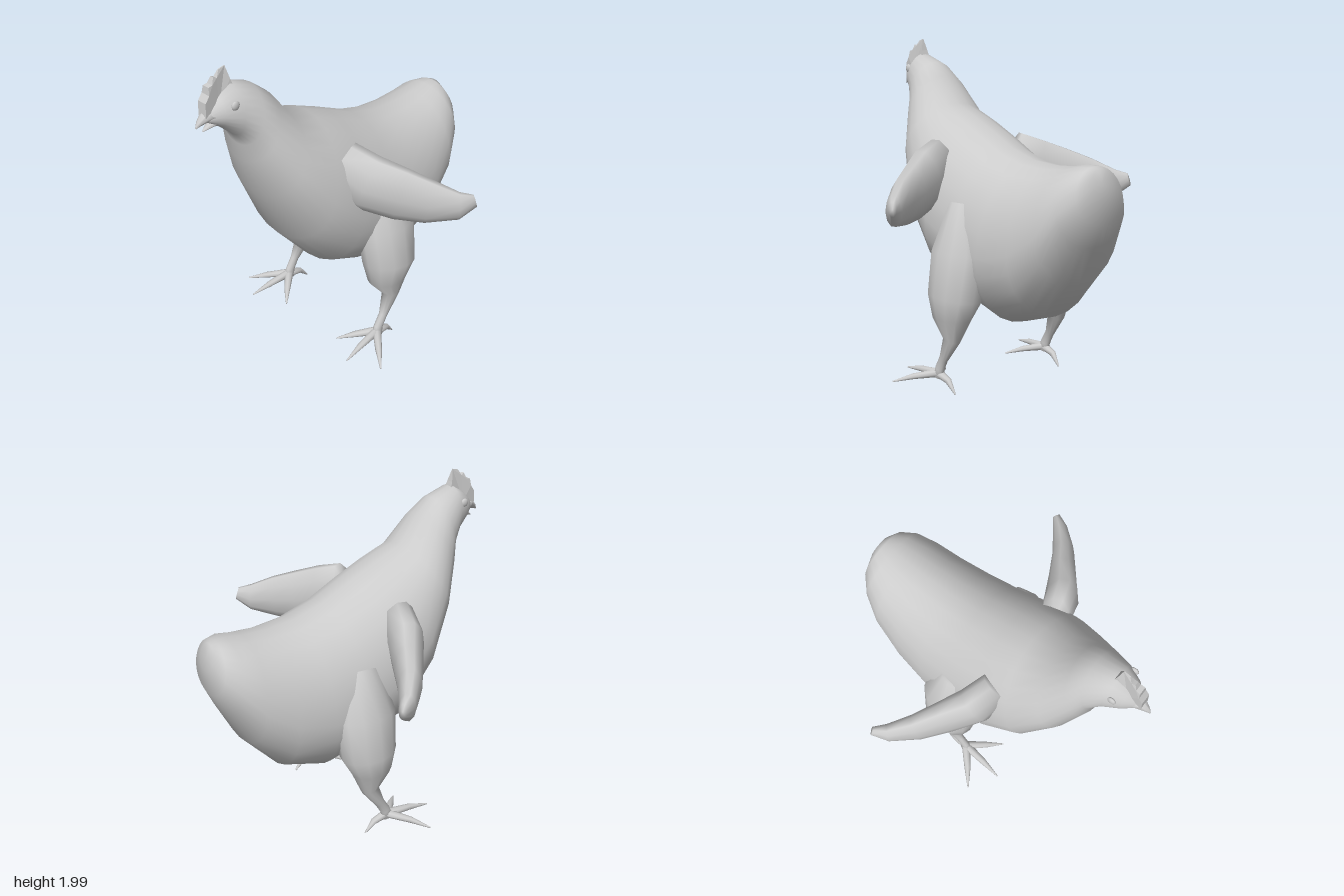
import * as THREE from 'three';

const material = new THREE.MeshStandardMaterial({ color: 0xcccccc });

// Skin equal-length rings of points into a closed, smooth, outward-facing surface
function loft(rings) {
  const n = rings[0].length, pos = [], idx = [];
  rings.forEach(r => r.forEach(p => pos.push(p.x, p.y, p.z)));
  for (let i = 0; i < rings.length - 1; i++) {
    for (let j = 0; j < n; j++) {
      const a = i * n + j, b = i * n + (j + 1) % n;
      idx.push(a, b, b + n, a, b + n, a + n);
    }
  }
  [0, rings.length - 1].forEach((k, end) => {
    const c = new THREE.Vector3();
    rings[k].forEach(p => c.addScaledVector(p, 1 / n));
    const ci = pos.length / 3;
    pos.push(c.x, c.y, c.z);
    for (let j = 0; j < n; j++) {
      const a = k * n + j, b = k * n + (j + 1) % n;
      idx.push(ci, end ? a : b, end ? b : a);
    }
  });
  // Flip the faces if the enclosed volume is negative
  const at = i => new THREE.Vector3().fromArray(pos, i * 3);
  let volume = 0;
  for (let i = 0; i < idx.length; i += 3) {
    volume += at(idx[i]).dot(at(idx[i + 1]).cross(at(idx[i + 2])));
  }
  if (volume < 0) idx.reverse();
  const g = new THREE.BufferGeometry();
  g.setAttribute('position', new THREE.Float32BufferAttribute(pos, 3));
  g.setIndex(idx);
  g.computeVertexNormals();
  return g;
}

// Sweep ellipses along stations [x, y, z, halfWidth, halfHeight]; s mirrors x
function sweep(stations, seg, s = 1, up = new THREE.Vector3(0, 1, 0)) {
  const c = stations.map(p => new THREE.Vector3(p[0] * s, p[1], p[2]));
  return loft(stations.map((p, i) => {
    const dir = c[Math.min(i + 1, c.length - 1)].clone().sub(c[Math.max(i - 1, 0)]).normalize();
    const side = dir.clone().cross(up).normalize();
    const top = side.clone().cross(dir);
    return Array.from({ length: seg }, (_, j) => {
      const a = j / seg * Math.PI * 2;
      return c[i].clone().addScaledVector(side, Math.cos(a) * p[3]).addScaledVector(top, Math.sin(a) * p[4]);
    });
  }));
}

// Slanted egg-shaped body sections: [topZ, topY, bottomZ, bottomY, halfWidth]
function bodyGeometry() {
  const sections = [
    [0.87, 1.79, 0.86, 1.73, 0.03],
    [0.80, 1.86, 0.80, 1.69, 0.085],
    [0.72, 1.91, 0.71, 1.61, 0.125],
    [0.58, 1.86, 0.68, 1.54, 0.165],
    [0.48, 1.78, 0.67, 1.44, 0.205],
    [0.36, 1.62, 0.59, 1.20, 0.29],
    [0.20, 1.56, 0.43, 0.85, 0.37],
    [0.03, 1.49, 0.20, 0.58, 0.40],
    [-0.17, 1.40, -0.02, 0.48, 0.39],
    [-0.36, 1.35, -0.30, 0.41, 0.375],
    [-0.54, 1.34, -0.56, 0.50, 0.34],
    [-0.69, 1.35, -0.75, 0.72, 0.30],
    [-0.79, 1.37, -0.86, 0.94, 0.24],
    [-0.86, 1.37, -0.92, 1.07, 0.165],
    [-0.89, 1.36, -0.93, 1.21, 0.07],
  ];
  const seg = 24;
  return loft(sections.map(([tz, ty, bz, by, w]) => Array.from({ length: seg }, (_, j) => {
    const a = j / seg * Math.PI * 2, mid = 0.45;
    const t = mid + Math.sin(a) * (Math.sin(a) > 0 ? 1 - mid : mid);
    return new THREE.Vector3(Math.cos(a) * w, by + (ty - by) * t, bz + (tz - bz) * t);
  })));
}

// Jagged comb, thick at the skull and sharp along its crest
function combGeometry() {
  const outline = [[0.70, 1.88], [0.715, 1.93], [0.73, 2.0], [0.77, 1.99], [0.79, 1.955], [0.81, 1.965],
    [0.825, 1.93], [0.85, 1.925], [0.855, 1.885], [0.88, 1.85], [0.885, 1.77], [0.80, 1.80]];
  const shape = new THREE.Shape(outline.map(p => new THREE.Vector2(...p)));
  const g = new THREE.ExtrudeGeometry(shape, { depth: 1, bevelEnabled: false });
  g.translate(0, 0, -0.5).rotateY(-Math.PI / 2);
  const p = g.attributes.position;
  for (let i = 0; i < p.count; i++) {
    const half = THREE.MathUtils.clamp((2 - p.getY(i)) * 0.3, 0.002, 0.03);
    p.setX(i, Math.sign(p.getX(i)) * half);
  }
  g.computeVertexNormals();
  return g;
}

export function createModel() {
  const model = new THREE.Group();
  model.name = 'hen';
  const add = (name, geometry, parent = model) => {
    const mesh = new THREE.Mesh(geometry, material);
    mesh.name = name;
    parent.add(mesh);
    return mesh;
  };

  add('body', bodyGeometry());
  add('comb', combGeometry());
  add('upperBeak', sweep([[0, 1.77, 0.82, 0.06, 0.035], [0, 1.765, 0.87, 0.036, 0.03],
    [0, 1.74, 0.91, 0.015, 0.016], [0, 1.72, 0.93, 0.003, 0.003]], 8));
  add('lowerBeak', sweep([[0, 1.73, 0.79, 0.05, 0.03], [0, 1.715, 0.84, 0.03, 0.016],
    [0, 1.69, 0.89, 0.004, 0.004]], 8));

  for (const s of [1, -1]) {
    const label = s > 0 ? 'left' : 'right';

    const eye = add(label + 'Eye', new THREE.SphereGeometry(0.025, 12, 8));
    eye.scale.x = 0.5;
    eye.position.set(s * 0.098, 1.82, 0.75);

    // Wing held out and swept back
    add(label + 'Wing', sweep([
      [0.25, 1.30, 0.16, 0.09, 0.16], [0.40, 1.225, 0.11, 0.10, 0.18],
      [0.55, 1.175, 0.01, 0.08, 0.165], [0.68, 1.145, -0.08, 0.065, 0.135],
      [0.80, 1.125, -0.19, 0.045, 0.085], [0.85, 1.15, -0.26, 0.022, 0.04],
    ], 10, s));

    // Thigh tapering into the shank
    const leg = new THREE.Group();
    leg.name = label + 'Leg';
    model.add(leg);
    add('thighAndShank', sweep([
      [0.28, 1.10, -0.11, 0.09, 0.10], [0.33, 0.82, -0.12, 0.15, 0.19],
      [0.365, 0.58, -0.12, 0.15, 0.17], [0.375, 0.45, -0.10, 0.105, 0.125],
      [0.39, 0.33, -0.12, 0.05, 0.055], [0.40, 0.20, -0.05, 0.024, 0.03],
      [0.40, 0.13, -0.01, 0.024, 0.032], [0.40, 0.08, 0.0, 0.03, 0.04],
    ], 12, s, new THREE.Vector3(0, 0, 1)));

    // Three front toes and one rear toe: knuckle, then claw tip
    const toes = [
      ['innerToe', [0.31, 0.075, 0.10], [0.23, 0.04, 0.18]],
      ['middleToe', [0.415, 0.085, 0.16], [0.43, 0.06, 0.29]],
      ['outerToe', [0.51, 0.075, 0.10], [0.605, 0.04, 0.18]],
      ['rearToe', [0.395, 0.075, -0.09], [0.39, 0.01, -0.15]],
    ];
    for (const [name, knuckle, tip] of toes) {
      add(name, sweep([[0.40, 0.10, 0, 0.028, 0.025], [...knuckle, 0.02, 0.018], [...tip, 0.004, 0.004]], 8, s), leg);
    }
  }
  return model;
}
